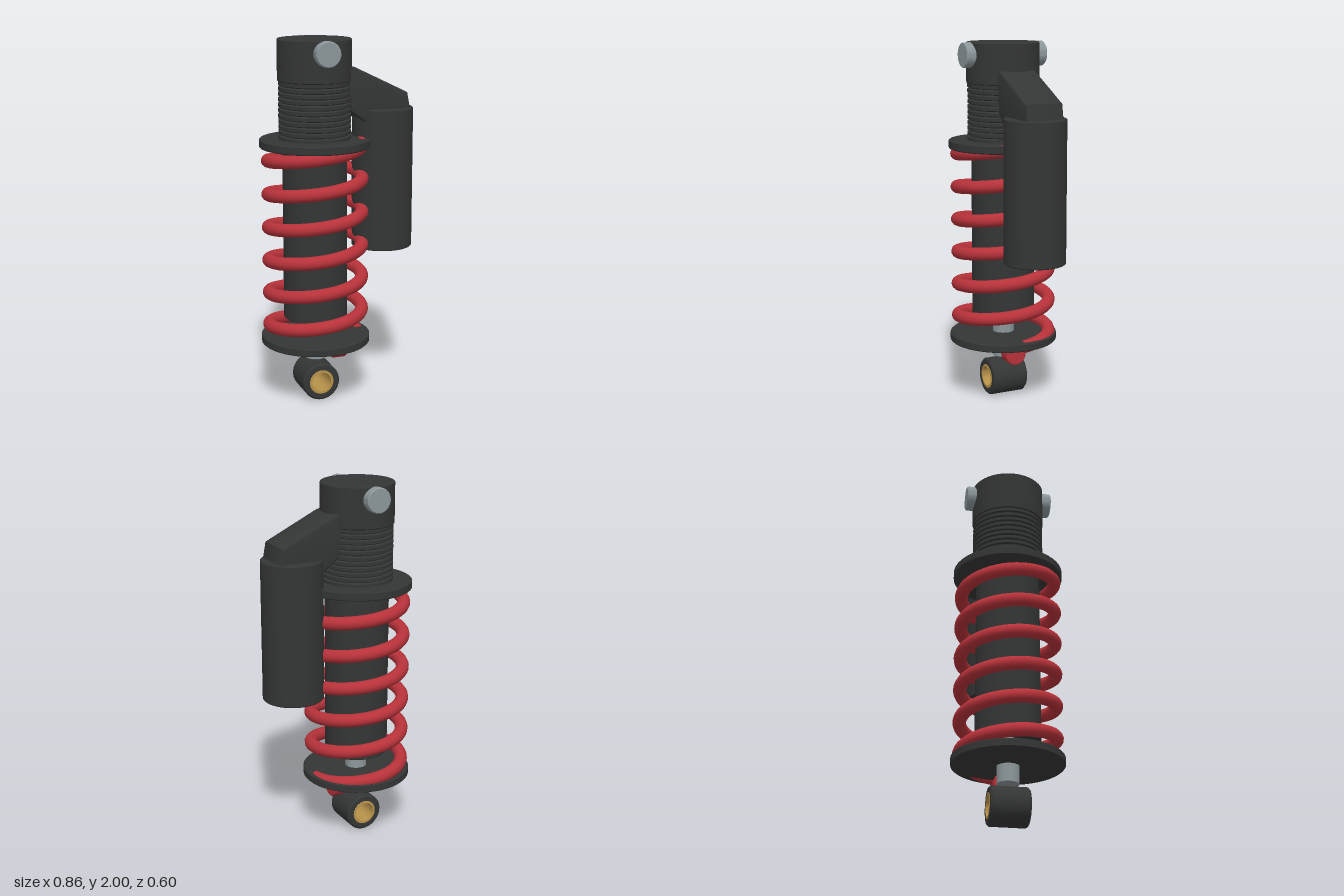
import * as THREE from 'three';
import { toCreasedNormals } from 'three/addons/utils/BufferGeometryUtils.js';

const material = (color) => new THREE.MeshStandardMaterial({ color });
const AXIS = -0.13; // x of the main damper axis

export function createModel() {
  const model = new THREE.Group();
  const dark = material(0x343635);
  const red = material(0xb8323a);
  const steel = material(0x8c979b);
  const brass = material(0xb8924a);

  function add(name, geometry, mat, x = AXIS, y = 0, z = 0) {
    const mesh = new THREE.Mesh(geometry, mat);
    mesh.name = name;
    mesh.position.set(x, y, z);
    model.add(mesh);
    return mesh;
  }

  // Turned part from [radius, height] pairs
  const turned = (points, sides = 48) => toCreasedNormals(
    new THREE.LatheGeometry(points.map(([r, y]) => new THREE.Vector2(r, y)), sides), 0.6);

  // Solid cylinder between two heights with a small chamfer
  const rod = (r, y0, y1, c = 0.005) => turned([
    [0, y0], [r - c, y0], [r, y0 + c], [r, y1 - c], [r - c, y1], [0, y1]]);

  // Hollow cylinder centred on its own middle
  const ring = (inner, outer, half, c) => turned([
    [inner, -half], [outer - c, -half], [outer, -half + c],
    [outer, half - c], [outer - c, half], [inner, half], [inner, -half]]);

  // Main damper
  add('topCap', rod(0.2, 1.775, 2), dark);
  add('damperBody', rod(0.175, 0.468, 1.5), dark);
  add('pistonRod', rod(0.06, 0.228, 0.5, 0.002), steel);
  add('upperSpringSeat', rod(0.3, 1.42, 1.467), dark);
  add('lowerSpringSeat', rod(0.3, 0.327, 0.372), dark);

  // Threaded collar: stacked ridges
  const ridges = [[0, 1.46]];
  const count = 11, pitch = 0.32 / count;
  for (let i = 0; i < count; i++) {
    const y = 1.46 + i * pitch;
    ridges.push([0.184, y], [0.195, y + pitch * 0.2], [0.195, y + pitch * 0.8], [0.184, y + pitch]);
  }
  ridges.push([0, 1.78]);
  add('threadedCollar', turned(ridges), dark);

  // Coil spring: six turns, starting and ending on the reservoir side
  class Coil extends THREE.Curve {
    getPoint(t, target = new THREE.Vector3()) {
      const a = t * 12 * Math.PI;
      return target.set(0.256 * Math.cos(a), 0.342 + 1.104 * t, -0.256 * Math.sin(a));
    }
  }
  const coil = new Coil();
  add('coilSpring', new THREE.TubeGeometry(coil, 288, 0.036, 14), red);
  for (const t of [0, 1]) {
    const p = coil.getPoint(t);
    const end = add('springEnd', new THREE.CircleGeometry(0.036, 14), red, AXIS + p.x, p.y, p.z);
    const out = coil.getTangent(t).multiplyScalar(t ? 1 : -1);
    end.quaternion.setFromUnitVectors(new THREE.Vector3(0, 0, 1), out);
  }

  // Upper mounting pin and lower eye, both along z
  add('mountingPin', rod(0.068, -0.24, 0.24), steel, AXIS, 1.932).rotation.x = Math.PI / 2;
  add('lowerEye', ring(0.068, 0.105, 0.105, 0.01), dark, AXIS, 0.11).rotation.x = Math.PI / 2;
  add('eyeBushing', ring(0.055, 0.07, 0.107, 0.003), brass, AXIS, 0.11).rotation.x = Math.PI / 2;

  // Rebound adjuster knob, along x
  add('adjusterKnob', rod(0.06, -0.039, 0.039), red, 0, 0.27).rotation.z = Math.PI / 2;

  // Side reservoir and the bridge that carries it
  add('reservoir', rod(0.167, 0.845, 1.62), dark, 0.26);
  const bevel = 0.015;
  const outline = new THREE.Shape([
    [0.03, 1.845], [0.06, 1.835], [0.352, 1.695], [0.37, 1.6], [0.145, 1.555], [0.05, 1.625],
  ].map(([x, y]) => new THREE.Vector2(x, y)));
  const bridge = new THREE.ExtrudeGeometry(outline, {
    depth: 0.214 - 2 * bevel, bevelThickness: bevel, bevelSize: bevel, bevelSegments: 3,
  });
  bridge.translate(0, 0, -0.107 + bevel);
  add('reservoirBridge', toCreasedNormals(bridge, 0.6), dark, 0);

  return model;
}
